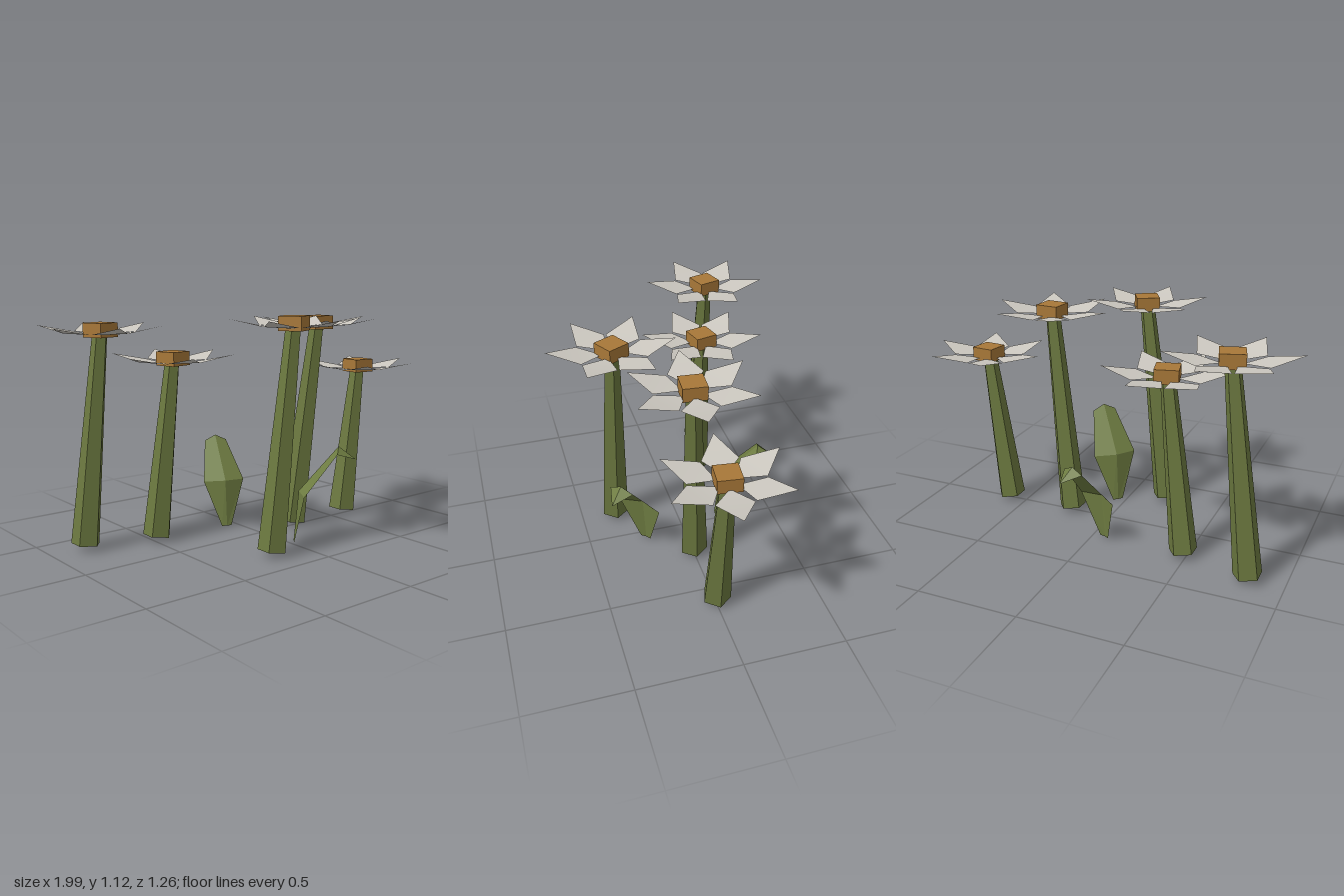
import * as THREE from 'three';

const mat = (color, flat = true) =>
  new THREE.MeshStandardMaterial({ color, flatShading: flat, side: THREE.DoubleSide });
const stemMat = mat(0x6b783f);
const leafMat = mat(0x6f7d42);
const petalMat = mat(0xccc8c0, false);
const coreMat = mat(0xa87838);

function surface(points, index) {
  const g = new THREE.BufferGeometry();
  g.setAttribute('position', new THREE.Float32BufferAttribute(points.flat(), 3));
  g.setIndex(index);
  g.computeVertexNormals();
  return g;
}

function add(parent, name, geometry, material) {
  const mesh = new THREE.Mesh(geometry, material);
  mesh.name = name;
  parent.add(mesh);
  return mesh;
}

// Kite-shaped petal along +x, its tip curling up
const petalGeometry = surface(
  [[0.045, -0.022, 0], [0.155, -0.012, 0.085], [0.155, -0.012, -0.085], [0.308, 0.022, 0]],
  [0, 1, 2, 1, 3, 2]);
const coreGeometry = new THREE.BoxGeometry(0.115, 0.068, 0.115);

// Six petals around a square core
function flowerHead(yawDegrees) {
  const head = new THREE.Group();
  head.name = 'flowerHead';
  add(head, 'flowerCore', coreGeometry, coreMat);
  for (let i = 0; i < 6; i++) {
    add(head, 'petal', petalGeometry, petalMat).rotation.y = (i * Math.PI) / 3;
  }
  head.rotation.y = THREE.MathUtils.degToRad(yawDegrees);
  return head;
}

// Leaning, tapered five-sided stem with a head on top
function flower(base, top, yaw) {
  const group = new THREE.Group();
  group.name = 'flower';
  const a = new THREE.Vector3(...base), b = new THREE.Vector3(...top);
  const axis = b.clone().sub(a);
  const geometry = new THREE.CylinderGeometry(0.037, 0.071, axis.length(), 5);
  geometry.rotateY(Math.PI / 2);
  const stem = add(group, 'stem', geometry, stemMat);
  stem.position.copy(a).lerp(b, 0.5);
  stem.quaternion.setFromUnitVectors(new THREE.Vector3(0, 1, 0), axis.normalize());
  const head = flowerHead(yaw);
  head.position.copy(b);
  group.add(head);
  return group;
}

// Keeled leaf growing along +x and drooping at the tip
function leaf(x, z, yawDegrees, height, width) {
  // each row: edge reach, edge height, half width, keel reach, keel height
  const rows = [
    [0, 0, 0.028, -0.005, 0],
    [0.05, 0.25, 0.116, 0.018, 0.255],
    [0.2, 0.452, 0.063, 0.205, 0.482],
    [0.283, 0.42, 0.002, 0.285, 0.42],
  ];
  const points = [], index = [];
  rows.forEach(([r, y, w, kr, ky], i) => {
    points.push([r, y, w], [kr, ky, 0], [r, y, -w]);
    if (i === 0) return;
    for (let j = 0; j < 2; j++) {
      const p = (i - 1) * 3 + j;
      index.push(p, p + 3, p + 1, p + 1, p + 3, p + 4);
    }
  });
  const group = new THREE.Group();
  group.name = 'leaf';
  add(group, 'leafBlade', surface(points, index), leafMat);
  group.position.set(x, 0, z);
  group.rotation.y = THREE.MathUtils.degToRad(yawDegrees);
  group.scale.set(1.03, height, width);
  return group;
}

export function createModel() {
  const model = new THREE.Group();
  model.name = 'flowerPatch';
  // stem foot, head centre, head yaw
  const flowers = [
    [[-0.825, 0.028, -0.32], [-0.705, 1.048, -0.332], 17],
    [[-0.481, 0.028, -0.225], [-0.377, 0.903, -0.216], 14],
    [[-0.194, 0.028, 0.322], [-0.066, 1.085, 0.32], 28],
    [[0.218, 0.028, 0.0], [0.336, 1.065, 0.046], -4.5],
    [[0.587, 0.028, -0.005], [0.688, 0.818, -0.003], -6.5],
  ];
  for (const [base, top, yaw] of flowers) model.add(flower(base, top, yaw));

  model.add(leaf(0.045, 0.21, -45, 1, 1));
  model.add(leaf(-0.06, -0.21, 69.5, 0.935, 0.93));
  return model;
}
